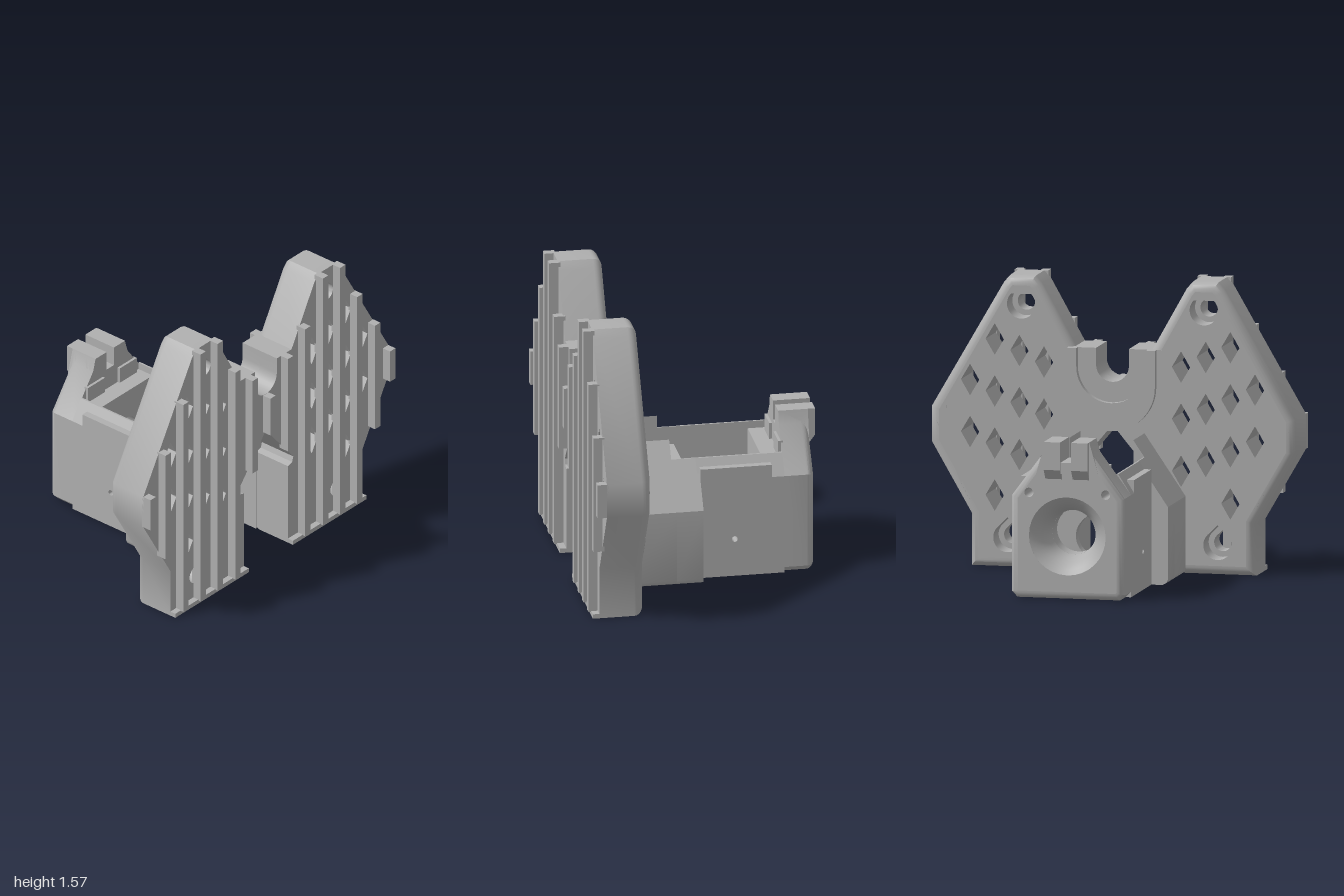
import * as THREE from 'three';
import { toCreasedNormals } from 'three/addons/utils/BufferGeometryUtils.js';

const grey = new THREE.MeshStandardMaterial({ color: 0xb0b0b0, side: THREE.DoubleSide });
grey.name = 'plainGrey';

const shapeOf = (pts, holes = []) => {
  const s = new THREE.Shape(pts.map(p => new THREE.Vector2(p[0], p[1])));
  s.holes = holes.map(h => new THREE.Path(h.map(p => new THREE.Vector2(p[0], p[1]))));
  return s;
};
const extrude = (pts, holes, z0, z1) => toCreasedNormals(
  new THREE.ExtrudeGeometry(shapeOf(pts, holes), { depth: z1 - z0, bevelEnabled: false }).translate(0, 0, z0), 0.5);
const arc = (cx, cy, r, a0, a1, n) => Array.from({ length: n + 1 }, (_, i) => {
  const a = a0 + (a1 - a0) * i / n;
  return [cx + r * Math.cos(a), cy + r * Math.sin(a)];
});
const circle = (x, y, r) => arc(x, y, r, 0, Math.PI * 2, 32).slice(0, -1);
// Round hole with a pointed top
const teardrop = (x, y, r) => [...arc(x, y, r, Math.PI * 0.75, Math.PI * 2.25, 28), [x, y + r * Math.SQRT2]];
const mirror = pts => pts.map(p => [-p[0], p[1]]);

// Moves each edge of an outline inwards by its own distance (third value)
function inset(pts) {
  const n = pts.length;
  const edge = i => {
    const a = pts[i], b = pts[(i + 1) % n], l = Math.hypot(b[0] - a[0], b[1] - a[1]);
    const nx = -(b[1] - a[1]) / l, ny = (b[0] - a[0]) / l;
    return [nx, ny, nx * a[0] + ny * a[1] + (a[2] || 0)];
  };
  return pts.map((p, i) => {
    const e = edge((i + n - 1) % n), f = edge(i), det = e[0] * f[1] - e[1] * f[0];
    if ((!p[2] && !pts[(i + n - 1) % n][2]) || Math.abs(det) < 1e-4) return [p[0], p[1]];
    return [(e[2] * f[1] - f[2] * e[1]) / det, (e[0] * f[2] - f[0] * e[2]) / det];
  });
}

// Outer skin with a rounded rear edge
function rim(pts, r, z0, z1) {
  const inner = inset(pts), prof = [], pos = [];
  for (let k = 0; k <= 6; k++) {
    const a = k / 6 * Math.PI / 2;
    prof.push([1 - Math.sin(a), z0 + r * (1 - Math.cos(a))]);
  }
  prof.push([0, z1], [1, z1]);
  const at = (i, [t, z]) => [0, 1].map(c => pts[i][c] + (inner[i][c] - pts[i][c]) * t).concat(z);
  pts.forEach((_, i) => {
    const j = (i + 1) % pts.length;
    for (let k = 0; k + 1 < prof.length; k++) {
      const a = at(i, prof[k]), b = at(j, prof[k]), c = at(j, prof[k + 1]), d = at(i, prof[k + 1]);
      pos.push(...a, ...b, ...c, ...a, ...c, ...d);
    }
  });
  const g = new THREE.BufferGeometry();
  g.setAttribute('position', new THREE.Float32BufferAttribute(pos, 3));
  return toCreasedNormals(g, 0.6);
}

export function createModel() {
  const model = new THREE.Group();
  const add = (name, geo, parent = model) => {
    const m = new THREE.Mesh(geo, grey);
    m.name = name;
    parent.add(m);
    return m;
  };
  const box = (name, x0, x1, y0, y1, z0, z1) =>
    add(name, new THREE.BoxGeometry(x1 - x0, y1 - y0, z1 - z0).translate((x0 + x1) / 2, (y0 + y1) / 2, (z0 + z1) / 2));

  // Winged plate outline: right half, notch, left half, channel
  const r = 0.05;
  const half = [[0.18, 0, r], [0.78, 0, r], [0.78, 0.28, r], [1, 0.66, r], [1, 0.85, r], [0.605, 1.53, r],
    [0.57, 1.57, r], [0.43, 1.57, r], [0.395, 1.53, r], [0.21, 1.2, 0], [0.09, 1.2, 0]];
  const left = half.map((p, k) => [-p[0], p[1], k ? half[k - 1][2] : 0]).reverse();
  const channel = [[-0.18, 0.48], [-0.215, 0.49], [-0.225, 0.52], [0, 0.79], [0.225, 0.52], [0.215, 0.49], [0.18, 0.48]];
  const outline = [...half, ...arc(0, 1.11, 0.09, 0, -Math.PI, 16), ...left, ...channel];

  // Diamond lattice, kept clear of edges, screw holes and the housing
  const inWing = (x, y) => y > 0.3 && x > 0.24 && x < 0.93
    && y < 1.57 - Math.max(0, (x - 0.58) * 1.73) - 0.14 && y < 1.2 + (x - 0.21) * 1.78 - 0.09
    && y > 0.28 + (x - 0.78) * 1.73 + 0.16 && y > 0.42 + (0.4 - x) * 1.43 + 0.02
    && Math.hypot(x - 0.5, y - 1.43) > 0.18 && Math.hypot(x - 0.575, y - 0.165) > 0.18;
  const diamonds = [];
  for (let i = -4; i <= 4; i++) for (let j = -4; j <= 4; j++) {
    const x = 0.51 + i * 0.135, y = 0.89 + i * 0.057 + j * 0.28;
    if (inWing(x, y)) {
      const d = [[x + 0.05, y], [x, y + 0.085], [x - 0.05, y], [x, y - 0.085]];
      diamonds.push(d, mirror(d));
    }
  }
  const screws = q => [[0.5, 1.42], [0.575, 0.16]].flatMap(([x, y]) => [teardrop(x, y, q), teardrop(-x, y, q)]);
  const core = inset(outline);
  add('plateRim', rim(outline, r, 0.38, 0.62));
  add('plateBack', extrude(core, [...diamonds, ...screws(0.078)], 0.38, 0.5));
  add('plateFront', extrude(core, [...diamonds, ...screws(0.048)], 0.5, 0.62));

  // Vertical ribs on the front
  const ribs = [[0.145, 0.62, 1.2], [0.285, 0.02, 1.32], [0.43, 0.02, 1.57], [0.57, 0.02, 1.57],
    [0.71, 0.02, 1.32], [0.855, 0.42, 1.07], [0.978, 0.66, 0.85]];
  box('centreRib', -0.022, 0.022, 0.79, 1.02, 0.62, 0.67);
  for (const s of [-1, 1]) {
    for (const [x, y0, y1] of ribs) box('rib', s * x - 0.022, s * x + 0.022, y0, y1, 0.61, 0.67);
    box('bottomLip', Math.min(s * 0.18, s * 0.78), Math.max(s * 0.18, s * 0.78), 0, 0.025, 0.61, 0.655);
  }

  // Raised collar around the notch, on the rear
  add('notchCollar', extrude([[0.24, 1.2], [0.19, 1.2], ...arc(0, 1.1, 0.19, 0, -Math.PI, 24), [-0.19, 1.2], [-0.24, 1.2],
    ...arc(0, 1.0, 0.24, Math.PI, Math.PI * 2, 24)], [], 0.345, 0.4));

  // Housing side walls, wide near the plate and narrow behind it
  for (const s of [-1, 1]) {
    const m = pts => (s > 0 ? pts : mirror(pts));
    add('wideWall', extrude(m([[0.175, 0], [0.37, 0], [0.39, 0.01], [0.4, 0.03], [0.4, 0.42], [0.175, 0.75]]), [], 0.13, 0.4));
    add('wideWallRear', extrude(m([[0.23, 0], [0.37, 0], [0.39, 0.01], [0.4, 0.03], [0.4, 0.42], [0.237, 0.66], [0.23, 0.66]]),
      [], -0.015, 0.13));
    const wall = extrude([[0, 0], [0.47, 0], [0.47, 0.55], [0, 0.55]], [circle(0.2, 0.21, 0.016)], 0, 0.08);
    add('narrowWall', wall.rotateY(Math.PI / 2).translate(s > 0 ? 0.23 : -0.31, 0, 0));
    add('narrowWallTop', extrude(m([[0.23, 0.55], [0.31, 0.55], [0.24, 0.66], [0.23, 0.66]]), [], -0.47, 0));
    box('wallRidge', s > 0 ? 0.27 : -0.31, s > 0 ? 0.31 : -0.27, 0.54, 0.62, -0.4, -0.015);
  }

  // Inner bulkhead with stepped teardrop opening
  const bulk = [[-0.235, 0], [0.235, 0], [0.235, 0.56], [-0.235, 0.56]];
  add('bulkheadRear', extrude(bulk, [teardrop(0, 0.24, 0.115)], 0.03, 0.09));
  add('bulkheadFront', extrude(bulk, [teardrop(0, 0.24, 0.14)], 0.09, 0.145));

  // Rear block with rounded edges, slotted boss and flared bore
  const q = 0.04;
  const rear = [[-0.28, 0, q], [0.28, 0, q], [0.31, 0.03, q], [0.31, 0.55, q], [0.14, 0.78, 0], [0.12, 0.85, 0],
    [0.03, 0.85, 0], [0.03, 0.74, 0], [-0.03, 0.74, 0], [-0.03, 0.85, 0], [-0.12, 0.85, 0], [-0.14, 0.78, q], [-0.31, 0.55, q],
    [-0.31, 0.03, q]];
  add('rearRim', rim(rear, q, -0.63, -0.47));
  add('rearBlock', extrude(inset(rear), [circle(0, 0.34, 0.21), circle(0.21, 0.57, 0.025), circle(-0.21, 0.57, 0.025)], -0.63, -0.47));
  add('rearInner', extrude([[-0.31, 0], [0.31, 0], [0.31, 0.55], [0.26, 0.62], [-0.26, 0.62], [-0.31, 0.55]],
    [circle(0, 0.34, 0.12)], -0.47, -0.37));
  const flare = [[0.21, -0.63], [0.18, -0.61], [0.15, -0.575], [0.13, -0.53], [0.12, -0.47]];
  add('flaredBore', new THREE.LatheGeometry(flare.map(p => new THREE.Vector2(p[0], p[1])), 40)
    .rotateX(Math.PI / 2).translate(0, 0.34, 0));
  for (const s of [-1, 1]) {
    // Boss cheek, with a sloped underside
    const cheek = extrude([[0.61, 0.62], [0.67, 0.7], [0.67, 0.85], [0.6, 0.85]], [], 0, 0.09);
    add('bossCheek', cheek.rotateY(Math.PI / 2).translate(s > 0 ? 0.03 : -0.12, 0, 0));
    box('bossStep', s > 0 ? 0.06 : -0.2, s > 0 ? 0.2 : -0.06, 0.62, 0.71, -0.48, -0.455);
  }
  box('bossBridge', -0.03, 0.03, 0.68, 0.74, -0.66, -0.61);
  return model;
}
